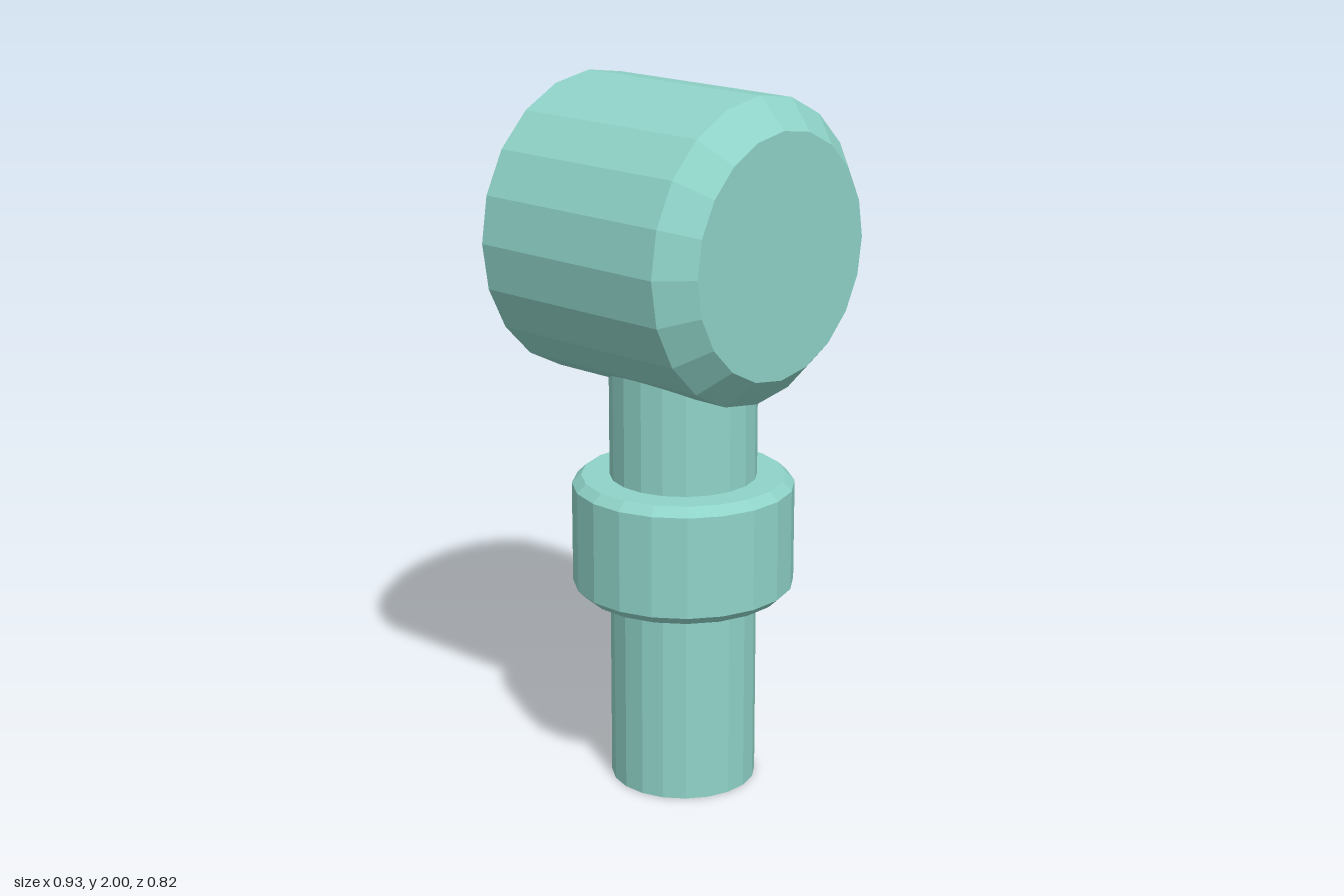
import * as THREE from 'three';

const SIDES = 20;

export function createModel() {
  const model = new THREE.Group();
  const material = new THREE.MeshStandardMaterial({ color: 0x8fd3c8, flatShading: true });

  // Turned part from [radius, height] pairs, listed bottom to top
  const turned = (name, profile) => {
    const points = profile.map(([r, y]) => new THREE.Vector2(r, y));
    const mesh = new THREE.Mesh(new THREE.LatheGeometry(points, SIDES), material);
    mesh.name = name;
    model.add(mesh);
    return mesh;
  };

  // Straight shaft, its top end buried in the head
  const shaft = turned('shaft', [[0, 0], [0.207, 0], [0.207, 1.3], [0, 1.3]]);
  shaft.position.set(0.005, 0, 0.008);

  // Collar with chamfered rims
  const collar = turned('collar', [
    [0.2, 0.565], [0.287, 0.565], [0.313, 0.59],
    [0.313, 0.88], [0.287, 0.905], [0.2, 0.905],
  ]);
  collar.position.copy(shaft.position);

  // Drum head: round socket in the back, bevelled front face
  const head = turned('head', [
    [0, -0.195], [0.21, -0.195], [0.21, -0.345], [0.42, -0.345],
    [0.42, 0.274], [0.337, 0.358], [0, 0.358],
  ]);
  head.geometry.rotateX(Math.PI / 2);
  head.rotation.y = THREE.MathUtils.degToRad(10);
  head.position.set(0.005, 1.58, 0);

  return model;
}
